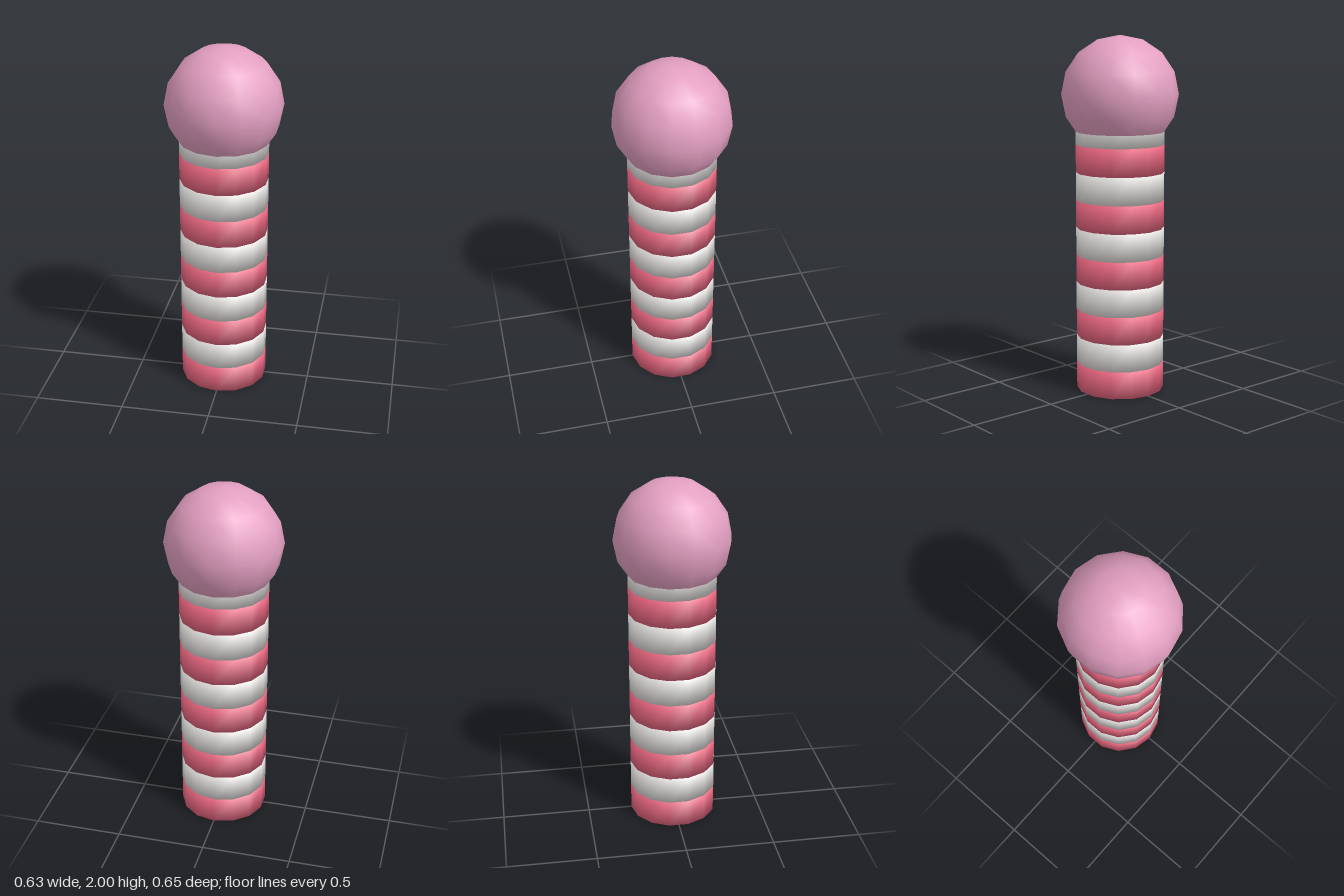
import * as THREE from 'three';
import { mergeVertices } from 'three/addons/utils/BufferGeometryUtils.js';

const SIDES = 14;

// Closed cylinder whose caps and wall share soft normals
function softBand(radius, height) {
  const geometry = new THREE.CylinderGeometry(radius, radius, height, SIDES);
  geometry.deleteAttribute('uv');
  geometry.deleteAttribute('normal');
  const welded = mergeVertices(geometry);
  welded.computeVertexNormals();
  return welded;
}

export function createModel() {
  const model = new THREE.Group();
  model.name = 'stripedPostWithBall';

  const red = new THREE.MeshStandardMaterial({ color: 0xe8657f });
  red.name = 'rose red';
  const white = new THREE.MeshStandardMaterial({ color: 0xe2e0dd });
  white.name = 'off white';
  const pink = new THREE.MeshStandardMaterial({ color: 0xe39fc1 });
  pink.name = 'soft pink';

  // Post: stacked bands of alternating colour
  const post = new THREE.Group();
  post.name = 'post';
  const bandHeight = 0.1555;
  const bandGeometry = softBand(0.247, bandHeight);
  for (let i = 0; i < 10; i++) {
    const band = new THREE.Mesh(bandGeometry, i % 2 ? white : red);
    band.name = i % 2 ? 'whiteBand' : 'redBand';
    band.position.y = (i + 0.5) * bandHeight;
    post.add(band);
  }
  model.add(post);

  // Ball on top, turned so its corners line up with the post
  const ball = new THREE.Mesh(new THREE.SphereGeometry(0.325, SIDES, 8), pink);
  ball.name = 'ball';
  ball.position.y = 1.675;
  ball.rotation.y = Math.PI / 2;
  model.add(ball);

  return model;
}
